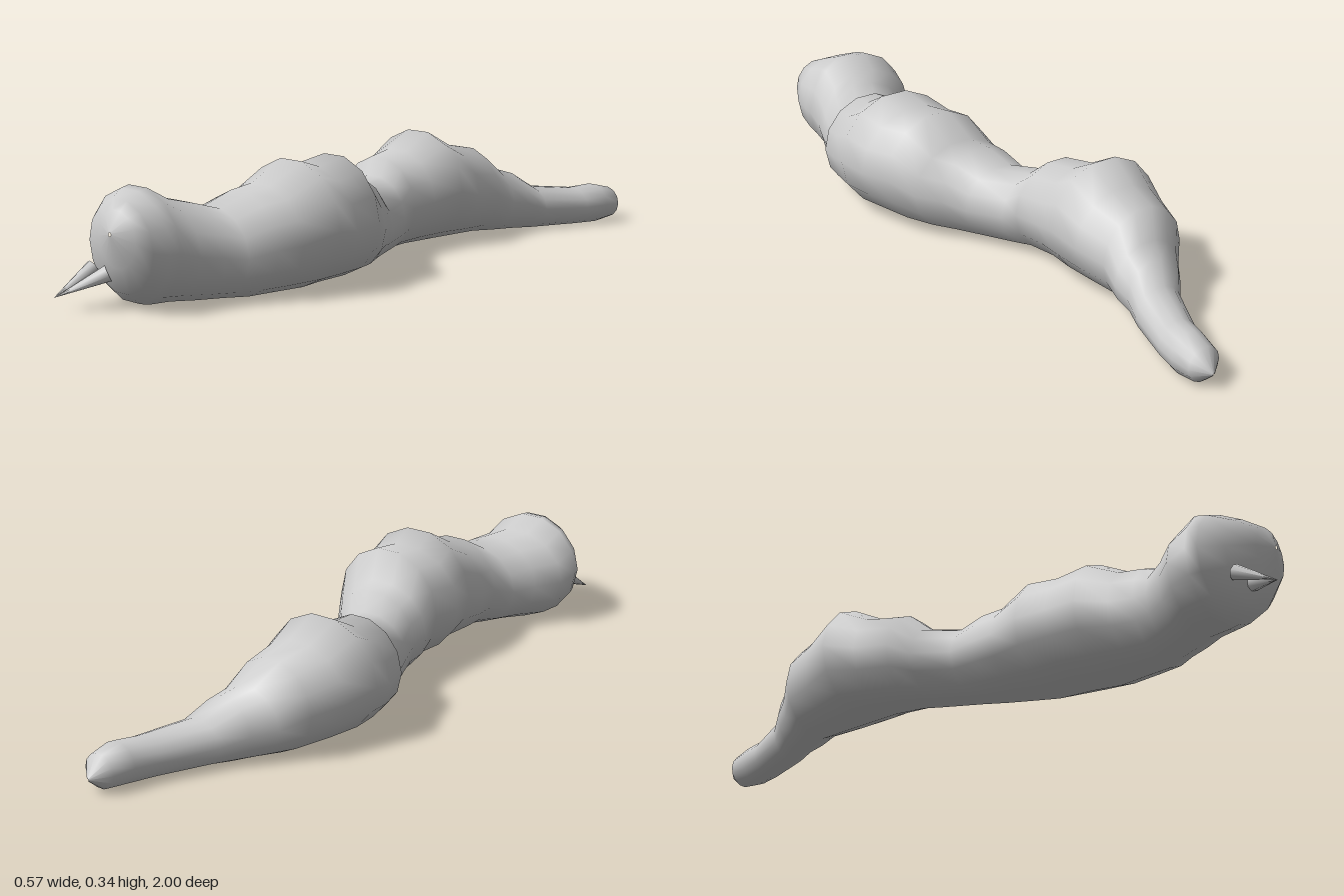
import * as THREE from 'three';

const SIDES = 14;

// Cross-sections from tail to head: z, right edge, left edge, top, bottom (default: on the ground)
const RINGS = [
  [-1.0, 0.09, 0.095, 0.05, 0.045],
  [-0.96, 0.04, 0.14, 0.105, 0.01],
  [-0.9, 0.025, 0.143, 0.12],
  [-0.83, 0.0, 0.125, 0.115],
  [-0.69, -0.07, 0.08, 0.13],
  [-0.63, -0.12, 0.06, 0.175],
  [-0.57, -0.165, 0.052, 0.195],
  [-0.51, -0.22, 0.042, 0.26],
  [-0.41, -0.255, 0.055, 0.28],
  [-0.32, -0.285, 0.07, 0.328],
  [-0.23, -0.26, 0.045, 0.28],
  [-0.14, -0.23, 0.05, 0.27],
  [-0.09, -0.185, 0.062, 0.225],
  [0.01, -0.135, 0.11, 0.215],
  [0.07, -0.118, 0.155, 0.255],
  [0.13, -0.115, 0.2, 0.265],
  [0.2, -0.098, 0.245, 0.335],
  [0.3, -0.105, 0.265, 0.32],
  [0.38, -0.085, 0.282, 0.345],
  [0.48, -0.07, 0.25, 0.29],
  [0.55, -0.06, 0.232, 0.28],
  [0.61, -0.09, 0.19, 0.242],
  [0.67, -0.125, 0.17, 0.26],
  [0.73, -0.18, 0.145, 0.275],
  [0.79, -0.19, 0.137, 0.31],
  [0.82, -0.18, 0.135, 0.305, 0.01],
  [0.87, -0.125, 0.13, 0.288, 0.045],
  [0.91, -0.035, 0.11, 0.27, 0.12],
  [0.93, 0.03, 0.04, 0.215, 0.205],
];

function bodyGeometry() {
  const positions = [];
  const index = [];
  RINGS.forEach(([z, x0, x1, top, bottom = 0.003], i) => {
    for (let j = 0; j < SIDES; j++) {
      const a = (j / SIDES) * Math.PI * 2;
      positions.push(
        (x0 + x1) / 2 + ((x1 - x0) / 2) * Math.cos(a),
        (top + bottom) / 2 + ((top - bottom) / 2) * Math.sin(a),
        z
      );
      if (i === RINGS.length - 1) continue;
      const k = (j + 1) % SIDES;
      const p = i * SIDES;
      const q = p + SIDES;
      index.push(p + j, p + k, q + k, p + j, q + k, q + j);
    }
  });
  const geometry = new THREE.BufferGeometry();
  geometry.setAttribute('position', new THREE.Float32BufferAttribute(positions, 3));
  geometry.setIndex(index);
  geometry.computeVertexNormals();
  return geometry;
}

// Pointed cone running from its base centre to its tip
function spike(name, base, tip, radius, material) {
  const axis = tip.clone().sub(base);
  const mesh = new THREE.Mesh(new THREE.ConeGeometry(radius, axis.length(), 8), material);
  mesh.position.copy(base).add(tip).multiplyScalar(0.5);
  mesh.quaternion.setFromUnitVectors(new THREE.Vector3(0, 1, 0), axis.normalize());
  mesh.name = name;
  return mesh;
}

export function createModel() {
  const group = new THREE.Group();
  group.name = 'crawlingWorm';
  const material = new THREE.MeshStandardMaterial({ color: 0xcccccc });

  // Winding body with head and tapering tail
  const body = new THREE.Mesh(bodyGeometry(), material);
  body.name = 'body';
  group.add(body);

  // Two pincers meeting at one point
  const tip = new THREE.Vector3(-0.105, 0.04, 1.0);
  group.add(spike('rightPincer', new THREE.Vector3(-0.1, 0.1, 0.88), tip, 0.021, material));
  group.add(spike('leftPincer', new THREE.Vector3(-0.025, 0.098, 0.89), tip, 0.023, material));
  return group;
}
